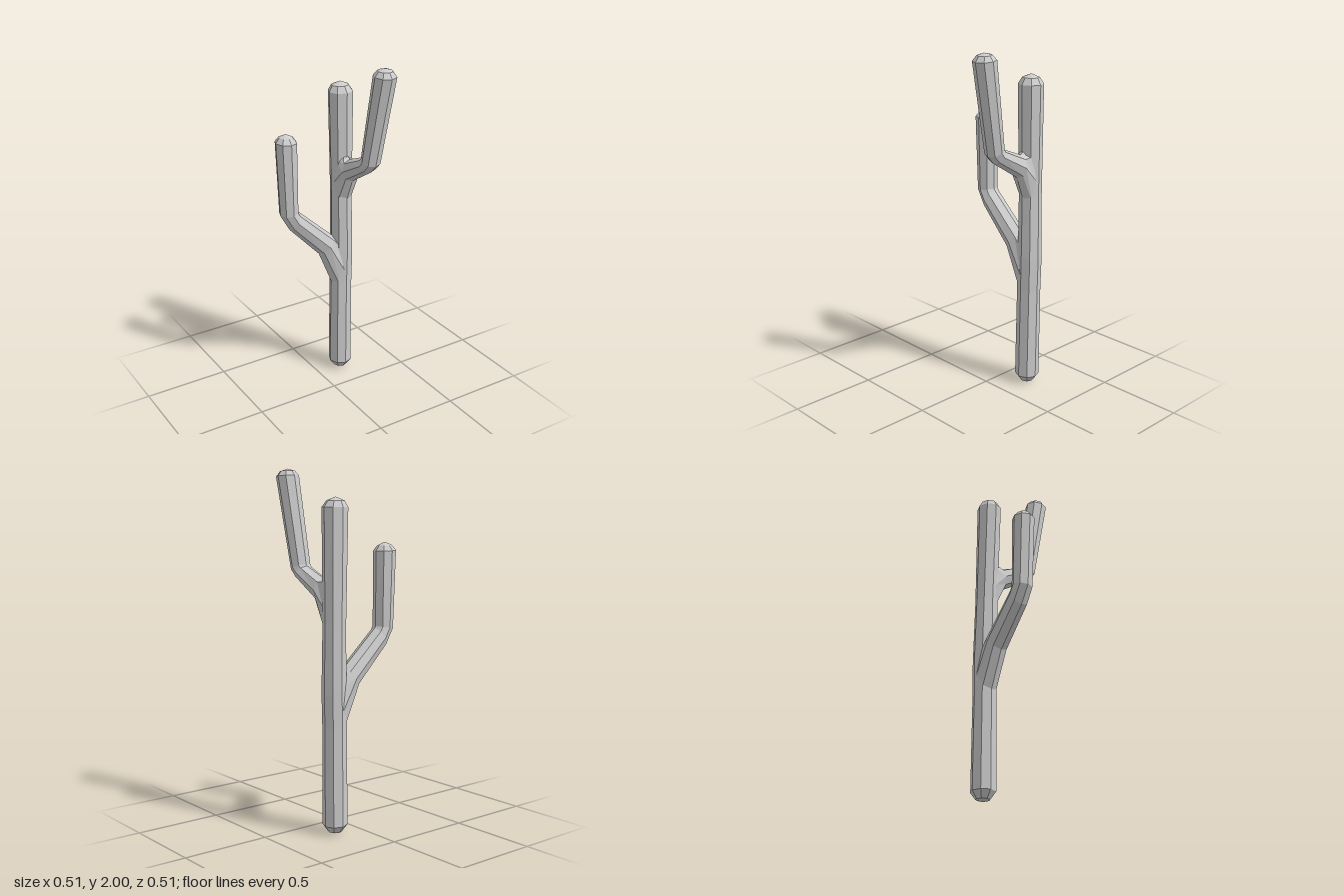
import * as THREE from 'three';

const SIDES = 8;
const material = new THREE.MeshStandardMaterial({ color: 0xcccccc, flatShading: true });

// Low-poly limb lofted through rings that lie across one upright plane.
// Ring: [uOuter, yOuter, uInner, yInner, sideCentre, sideHalfWidth]
// toPoint(u, y, side) places the plane in space.
function limb(name, rings, toPoint) {
  const pos = [], index = [];
  for (const [u0, y0, u1, y1, side, half] of rings) {
    for (let i = 0; i < SIDES; i++) {
      const a = (i / SIDES) * Math.PI * 2;
      const c = Math.cos(a) / 2;
      pos.push(...toPoint((u0 + u1) / 2 + (u1 - u0) * c, (y0 + y1) / 2 + (y1 - y0) * c, side + half * Math.sin(a)));
    }
  }
  for (let r = 0; r < rings.length - 1; r++) {
    for (let i = 0; i < SIDES; i++) {
      const j = (i + 1) % SIDES;
      const a = r * SIDES + i, b = r * SIDES + j, c = a + SIDES, d = b + SIDES;
      // A ring of zero width is a pole: leave out the collapsed triangle
      if (rings[r][5] > 0) index.push(a, c, b);
      if (rings[r + 1][5] > 0) index.push(b, c, d);
    }
  }
  const indexed = new THREE.BufferGeometry();
  indexed.setAttribute('position', new THREE.Float32BufferAttribute(pos, 3));
  indexed.setIndex(index);
  const geometry = indexed.toNonIndexed();
  geometry.computeVertexNormals();
  const mesh = new THREE.Mesh(geometry, material);
  mesh.name = name;
  return mesh;
}

const acrossX = (u, y, side) => [u, y, side];
const acrossZ = (u, y, side) => [side, y, u];

export function createModel() {
  const group = new THREE.Group();
  group.name = 'cactus';

  // Upright trunk with blunt domed ends
  group.add(limb('trunk', [
    [0.158, 0, 0.158, 0, -0.186, 0],
    [0.12, 0.012, 0.197, 0.012, -0.186, 0.04],
    [0.088, 0.055, 0.226, 0.05, -0.186, 0.07],
    [0.095, 0.6, 0.228, 0.6, -0.187, 0.068],
    [0.1, 0.85, 0.232, 0.78, -0.187, 0.07],
    [0.1, 1.17, 0.226, 1.17, -0.187, 0.065],
    [0.084, 1.79, 0.23, 1.79, -0.185, 0.069],
    [0.105, 1.825, 0.205, 1.825, -0.187, 0.047],
    [0.156, 1.845, 0.156, 1.845, -0.188, 0],
  ], acrossX));

  // Arm on the right: flared root, long diagonal, elbow, upright tip
  group.add(limb('rightArm', [
    [0.135, 0.52, 0.17, 0.87, -0.187, 0.064],
    [0.01, 0.82, 0.1, 0.92, -0.187, 0.064],
    [-0.18, 1.02, -0.125, 1.125, -0.19, 0.061],
    [-0.238, 1.12, -0.13, 1.135, -0.19, 0.06],
    [-0.256, 1.555, -0.13, 1.55, -0.19, 0.064],
    [-0.235, 1.583, -0.152, 1.58, -0.19, 0.04],
    [-0.195, 1.6, -0.195, 1.6, -0.19, 0],
  ], acrossX));

  // Arm at the front: flared root, short reach, elbow, tip leaning forward
  group.add(limb('frontArm', [
    [-0.155, 1.08, -0.17, 1.45, 0.163, 0.062],
    [-0.073, 1.285, -0.1, 1.41, 0.167, 0.06],
    [0.11, 1.4, 0.045, 1.47, 0.168, 0.056],
    [0.152, 1.445, 0.05, 1.478, 0.17, 0.057],
    [0.257, 1.955, 0.128, 1.965, 0.189, 0.064],
    [0.235, 1.985, 0.152, 1.99, 0.189, 0.042],
    [0.195, 2, 0.195, 2, 0.188, 0],
  ], acrossZ));

  return group;
}
